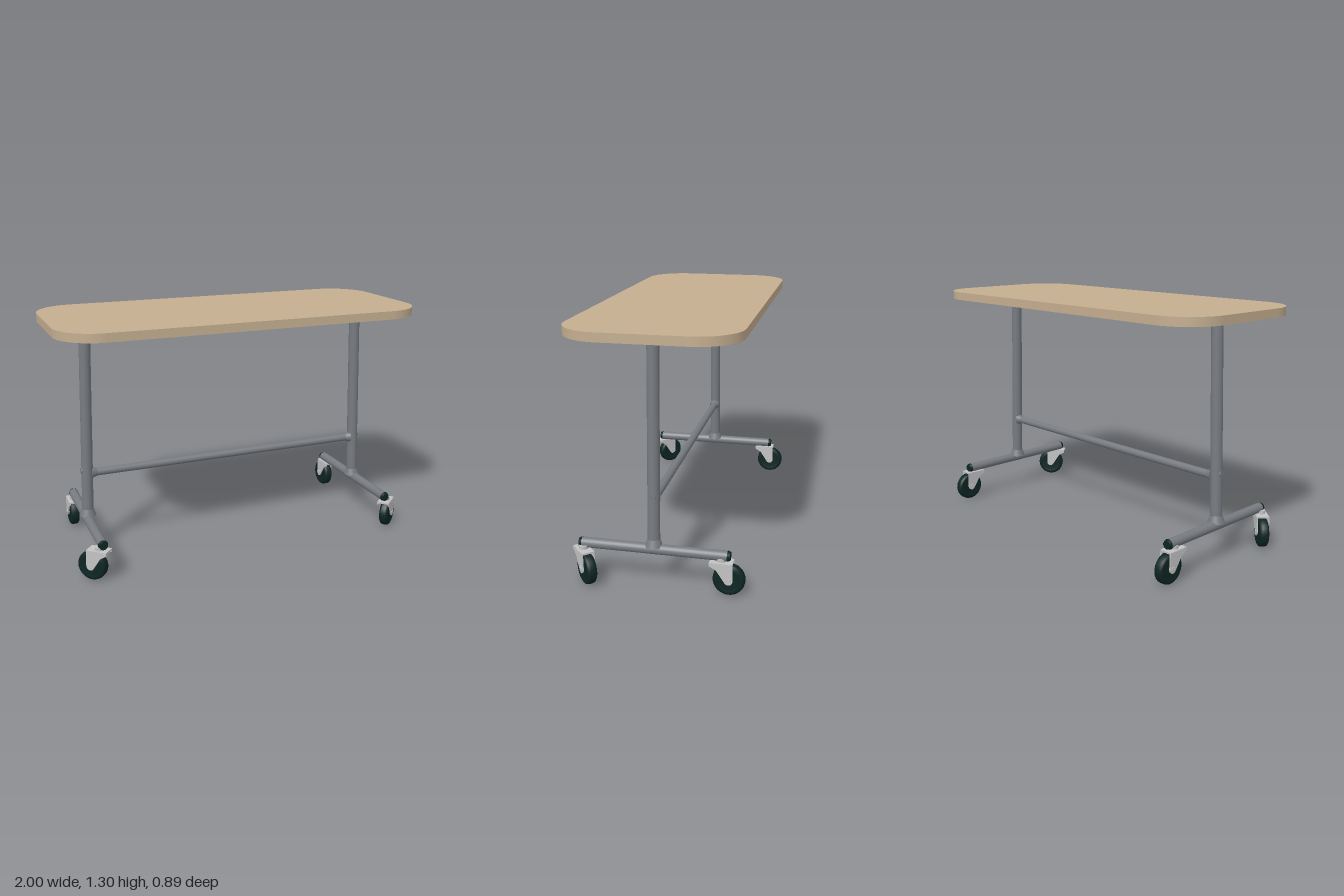
import * as THREE from 'three';

const mat = (name, color) => {
  const m = new THREE.MeshStandardMaterial({ color });
  m.name = name;
  return m;
};

export function createModel() {
  const wood = mat('wood', 0xc4ae90);
  const metal = mat('greyMetal', 0x777b80);
  const rubber = mat('darkRubber', 0x0d2523);
  const steel = mat('paleSteel', 0xc3c3c3);
  const model = new THREE.Group();
  const Z = 0.01;

  const add = (parent, name, geometry, material) => {
    const m = new THREE.Mesh(geometry, material);
    m.name = name;
    parent.add(m);
    return m;
  };

  // Round bar between two points
  const bar = (parent, name, a, b, r0, r1, material) => {
    const from = new THREE.Vector3(...a), to = new THREE.Vector3(...b);
    const dir = to.clone().sub(from);
    const m = add(parent, name, new THREE.CylinderGeometry(r1, r0, dir.length(), 24), material);
    m.position.copy(from).add(to).multiplyScalar(0.5);
    m.quaternion.setFromUnitVectors(new THREE.Vector3(0, 1, 0), dir.normalize());
    return m;
  };

  // Table top with rounded corners
  const w = 1, d = 0.43, r = 0.22;
  const outline = new THREE.Shape();
  outline.absarc(w - r, d - r, r, 0, Math.PI / 2);
  outline.absarc(-w + r, d - r, r, Math.PI / 2, Math.PI);
  outline.absarc(-w + r, -d + r, r, Math.PI, Math.PI * 1.5);
  outline.absarc(w - r, -d + r, r, Math.PI * 1.5, Math.PI * 2);
  const topGeo = new THREE.ExtrudeGeometry(outline, { depth: 0.045, bevelEnabled: false, curveSegments: 16 });
  topGeo.rotateX(-Math.PI / 2);
  add(model, 'tableTop', topGeo, wood).position.set(0, 1.257, Z);

  // Cross bar between the legs
  bar(model, 'crossBar', [-0.81, 0.455, Z], [0.81, 0.455, Z], 0.021, 0.021, metal);

  // Wheel profile, turned about its axle
  const wheelGeo = new THREE.LatheGeometry([
    [0, -0.022], [0.05, -0.022], [0.054, -0.025], [0.068, -0.025], [0.077, -0.019], [0.08, -0.01],
    [0.08, 0.01], [0.077, 0.019], [0.068, 0.025], [0.054, 0.025], [0.05, 0.022], [0, 0.022],
  ].map(p => new THREE.Vector2(...p)), 32);
  wheelGeo.rotateX(Math.PI / 2);

  // Tapered fork cheek: wide at the top, rounded around the axle
  const cheek = new THREE.Shape();
  cheek.moveTo(-0.055, 0.168);
  cheek.lineTo(0.06, 0.168);
  cheek.lineTo(0.062, 0.085);
  cheek.absarc(0.04, 0.083, 0.022, 0, -Math.PI * 0.75, true);
  cheek.lineTo(-0.02, 0.135);
  cheek.lineTo(-0.055, 0.155);
  const cheekGeo = new THREE.ExtrudeGeometry(cheek, { depth: 0.007, bevelEnabled: false });

  // Swivel caster whose wheel trails along local +x
  const addCaster = (x, z, dx, dz) => {
    const caster = new THREE.Group();
    caster.name = 'caster';
    add(caster, 'wheel', wheelGeo, rubber).position.set(0.04, 0.08, 0);
    for (const s of [-1, 1]) {
      add(caster, 'forkCheek', cheekGeo, steel).position.z = s * 0.0305 - 0.0035;
    }
    add(caster, 'forkCrown', new THREE.BoxGeometry(0.115, 0.009, 0.066), steel).position.set(0.0025, 0.1675, 0);
    bar(caster, 'swivelStem', [0, 0.165, 0], [0, 0.19, 0], 0.022, 0.022, steel);
    bar(caster, 'axle', [0.04, 0.083, -0.037], [0.04, 0.083, 0.037], 0.012, 0.012, steel);
    caster.position.set(x, 0, z);
    caster.rotation.y = Math.atan2(-dz, dx);
    model.add(caster);
  };

  // Leg frames, mirrored on both sides
  for (const s of [1, -1]) {
    const side = new THREE.Group();
    side.name = s > 0 ? 'leftFrame' : 'rightFrame';
    model.add(side);
    bar(side, 'leg', [s * 0.832, 0.2, Z], [s * 0.796, 1.26, Z], 0.031, 0.03, metal);
    bar(side, 'legFlare', [s * 0.832, 0.21, Z], [s * 0.831, 0.25, Z], 0.045, 0.031, metal);
    bar(side, 'topCollar', [s * 0.796, 1.245, Z], [s * 0.796, 1.258, Z], 0.031, 0.036, metal);
    bar(side, 'barCollar', [s * 0.80, 0.455, Z], [s * 0.77, 0.455, Z], 0.032, 0.021, metal);
    bar(side, 'bolt', [s * 0.82, 0.472, Z], [s * 0.857, 0.472, Z], 0.017, 0.015, metal);
    bar(side, 'footBar', [s * 0.837, 0.197, -0.36], [s * 0.837, 0.197, 0.38], 0.026, 0.026, metal);
    bar(side, 'frontCap', [s * 0.837, 0.197, 0.378], [s * 0.837, 0.197, 0.393], 0.027, 0.022, rubber);
    bar(side, 'rearCap', [s * 0.837, 0.197, -0.358], [s * 0.837, 0.197, -0.373], 0.027, 0.022, rubber);
    addCaster(s * 0.855, 0.368, s * 0.75, -0.66);
    addCaster(s * 0.845, -0.328, 0, -1);
  }
  return model;
}
